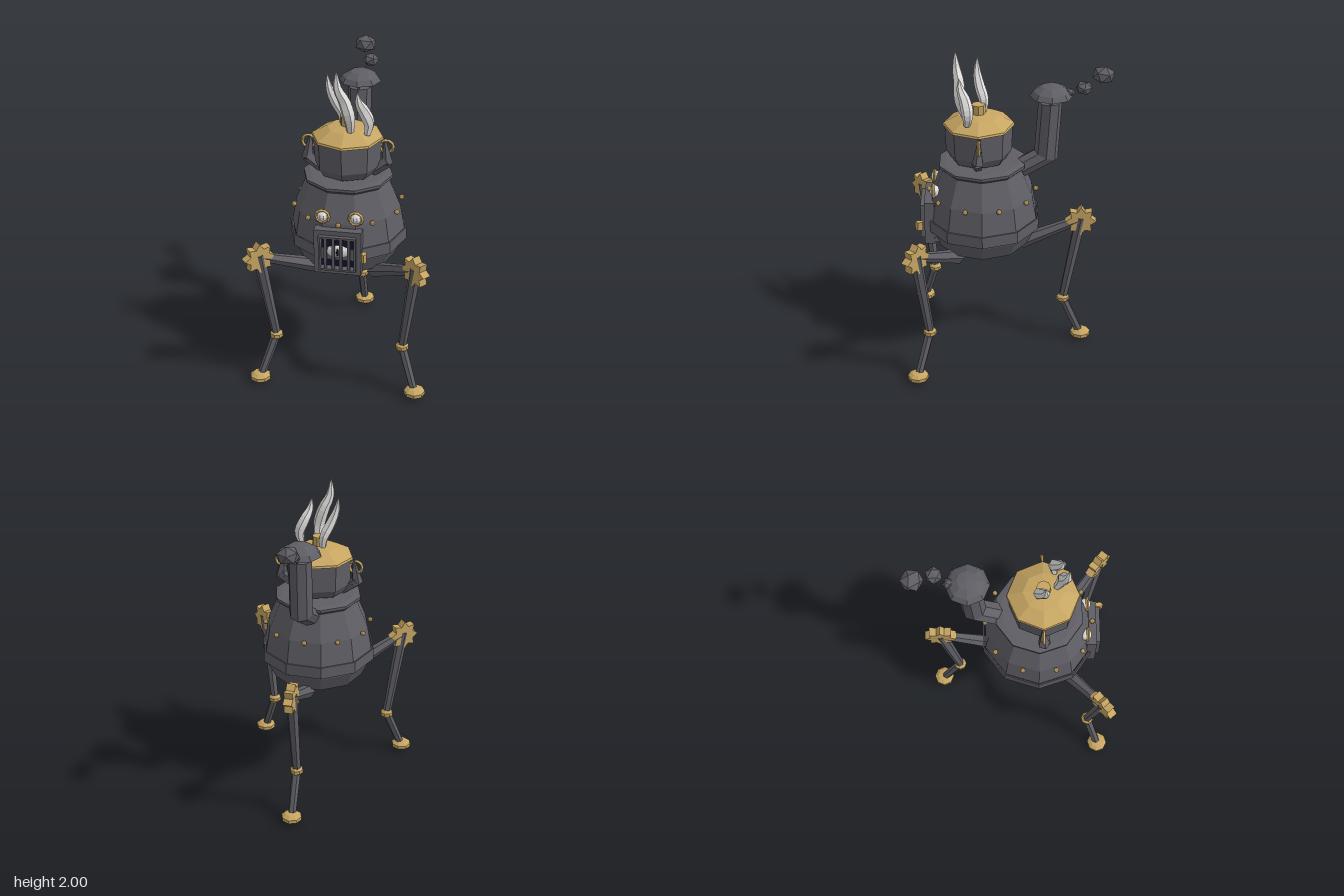
import * as THREE from 'three';

const V = (x, y, z) => new THREE.Vector3(x, y, z);
const CZ = 0.153; // depth of the body's axis

export function createModel() {
  const model = new THREE.Group();
  const mat = (name, color) => {
    const m = new THREE.MeshStandardMaterial({ color });
    m.name = name;
    return m;
  };
  const iron = mat('dark iron', 0x5f5e65);
  const brass = mat('brass', 0xc6a562);
  const white = mat('pale white', 0xe4e3e1);
  const navy = mat('dark opening', 0x12122c);

  // Adds a faceted mesh
  function add(name, geo, material, pos = V(0, 0, 0), parent = model) {
    const g = geo.index ? geo.toNonIndexed() : geo;
    g.computeVertexNormals();
    const mesh = new THREE.Mesh(g, material);
    mesh.name = name;
    mesh.position.copy(pos);
    parent.add(mesh);
    return mesh;
  }
  // Turned part from [radius, y] pairs, listed bottom to top
  const turned = (pts, sides) =>
    new THREE.LatheGeometry(pts.map(p => new THREE.Vector2(p[0], p[1])), sides, Math.PI / 2);
  // Tapered bar between two points
  function bar(name, a, b, ra, rb, sides, material, parent) {
    const mesh = add(name, new THREE.CylinderGeometry(rb, ra, a.distanceTo(b), sides), material,
      a.clone().add(b).multiplyScalar(0.5), parent);
    mesh.quaternion.setFromUnitVectors(V(0, 1, 0), b.clone().sub(a).normalize());
    return mesh;
  }
  // Square frame with a square hole
  function frame(outer, inner, depth) {
    const square = (P, w) => new P([[-w, -w], [w, -w], [w, w], [-w, w]].map(p => new THREE.Vector2(...p)));
    const s = square(THREE.Shape, outer);
    s.holes.push(square(THREE.Path, inner));
    return new THREE.ExtrudeGeometry(s, { depth, bevelEnabled: false });
  }

  // Kettle body, belt and neck rim
  const axis = V(0, 0, CZ);
  add('body', turned([[0, 0.675], [0.13, 0.675], [0.285, 0.76], [0.335, 0.86], [0.348, 0.95],
    [0.322, 1.1], [0.25, 1.27], [0, 1.27]], 10), iron, axis);
  add('belt', turned([[0.354, 0.88], [0.362, 0.88], [0.362, 0.955], [0.354, 0.955], [0.354, 0.88]], 10), iron, axis);
  add('neckRim', turned([[0, 1.265], [0.25, 1.265], [0.272, 1.285], [0.272, 1.302], [0.235, 1.31], [0, 1.31]], 10), iron, axis);
  for (let i = 0; i < 10; i++) {
    const a = (i + 0.5) * Math.PI / 5;
    add('rivet', new THREE.IcosahedronGeometry(0.016, 1), brass,
      V(0.33 * Math.cos(a), 1.105, CZ + 0.33 * Math.sin(a)));
  }

  // Upper pot, lid and knob
  const potAxis = V(0, 0, 0.172);
  add('pot', turned([[0, 1.325], [0.172, 1.325], [0.2, 1.375], [0.206, 1.54], [0, 1.54]], 8), iron, potAxis);
  add('lid', turned([[0, 1.535], [0.218, 1.54], [0.213, 1.553], [0.12, 1.603], [0, 1.622]], 8), brass, potAxis);
  add('knob', new THREE.CylinderGeometry(0.042, 0.042, 0.06, 8), brass, V(0, 1.643, 0.172));

  // Pot brackets with handle rings
  for (const s of [-1, 1]) {
    bar('bracket', V(s * 0.15, 1.325, 0.18), V(s * 0.245, 1.4, 0.175), 0.03, 0.038, 5, iron);
    bar('bracketTip', V(s * 0.242, 1.385, 0.175), V(s * 0.222, 1.54, 0.165), 0.038, 0.006, 5, iron);
    add('handleRing', new THREE.TorusGeometry(0.04, 0.01, 4, 10), brass, V(s * 0.235, 1.49, 0.17));
  }

  // Steam wisps: tubes swelling in the middle and pinched to a tip
  function wisp(points, radius) {
    const curve = new THREE.CatmullRomCurve3(points.map(p => V(...p)));
    const seg = 12, sides = 6;
    const g = new THREE.TubeGeometry(curve, seg, 1, sides);
    const pos = g.attributes.position, v = V(0, 0, 0);
    for (let i = 0; i <= seg; i++) {
      const t = i / seg, c = curve.getPointAt(t);
      const r = radius * (0.5 + 1.4 * t) * Math.min(1, Math.pow(1 - t, 0.9) * 1.35);
      for (let j = 0; j <= sides; j++) {
        const k = i * (sides + 1) + j;
        v.fromBufferAttribute(pos, k).sub(c).multiplyScalar(r).add(c);
        pos.setXYZ(k, v.x, v.y, v.z);
      }
    }
    add('steamWisp', g, white);
  }
  wisp([[0.03, 1.6, 0.25], [0.03, 1.7, 0.28], [0, 1.81, 0.285], [-0.035, 1.89, 0.3], [-0.04, 2.0, 0.308]], 0.042);
  wisp([[-0.03, 1.6, 0.145], [-0.04, 1.68, 0.14], [-0.075, 1.76, 0.165], [-0.105, 1.84, 0.18], [-0.12, 1.93, 0.177]], 0.036);
  wisp([[0.13, 1.59, 0.24], [0.14, 1.66, 0.235], [0.11, 1.74, 0.25], [0.085, 1.8, 0.275], [0.075, 1.87, 0.285]], 0.04);

  // Bent chimney pipe: rows of a cylinder moved onto the bend
  const pipe = new THREE.CylinderGeometry(0.072, 0.072, 2, 8, 2);
  const pp = pipe.attributes.position;
  for (let i = 0; i < pp.count; i++) {
    const row = Math.round(pp.getY(i)), z = pp.getZ(i);
    if (row === 1) pp.setXYZ(i, pp.getX(i), 1.69, -0.258 + z);
    else if (row === 0) pp.setXYZ(i, pp.getX(i), 1.34 + 0.4 * z, -0.237 + z);
    else pp.setXYZ(i, pp.getX(i), 1.215 + 0.77 * z, -0.025 + 0.37 * z);
  }
  add('chimneyPipe', pipe, iron);
  for (const [x, z] of [[0, 0.06], [0, -0.06], [0.06, 0], [-0.06, 0]])
    bar('capStrut', V(x, 1.68, -0.258 + z), V(x * 1.15, 1.75, -0.258 + z * 1.15), 0.006, 0.008, 4, iron);
  add('chimneyCap', turned([[0, 1.74], [0.08, 1.74], [0.132, 1.727], [0.11, 1.758], [0.06, 1.788], [0, 1.797]], 8),
    iron, V(0, 0, -0.265));

  // Smoke puffs
  [[0, 1.745, -0.37, 0.037], [0.035, 1.79, -0.455, 0.053], [-0.02, 1.85, -0.573, 0.07]].forEach(([x, y, z, r], i) => {
    const puff = add('smokePuff', new THREE.IcosahedronGeometry(r, 0), iron, V(x, y, z));
    puff.rotation.set(0.4 + i, 0.7 * i, 0);
    const squash = new THREE.Group();
    squash.name = 'smoke';
    squash.position.copy(puff.position);
    puff.position.set(0, 0, 0);
    squash.scale.y = 0.8;
    squash.add(puff);
    model.add(squash);
  });

  // Goggle eyes
  for (const s of [-1, 1]) {
    add('eye', new THREE.SphereGeometry(0.036, 10, 8), white, V(s * 0.1, 1.14, 0.44));
    add('eyeRing', new THREE.TorusGeometry(0.039, 0.01, 4, 10), brass, V(s * 0.1, 1.14, 0.452));
  }

  // Furnace door with barred window and peering eye
  const door = new THREE.Group();
  door.name = 'furnaceDoor';
  door.position.set(0, 0.935, 0);
  model.add(door);
  add('doorFrame', frame(0.142, 0.1, 0.06), iron, V(0, 0, 0.45), door);
  add('doorTrim', frame(0.112, 0.1, 0.025), iron, V(0, 0, 0.51), door);
  add('doorBack', new THREE.BoxGeometry(0.27, 0.27, 0.1), iron, V(0, 0, 0.43), door);
  add('doorOpening', new THREE.BoxGeometry(0.2, 0.2, 0.008), navy, V(0, 0, 0.486), door);
  add('peeringEye', new THREE.SphereGeometry(1, 12, 8), white, V(0, 0, 0.49), door).scale.set(0.075, 0.04, 0.02);
  add('pupil', new THREE.SphereGeometry(1, 8, 6), navy, V(0, 0, 0.508), door).scale.set(0.008, 0.026, 0.006);
  for (const x of [-0.07, -0.023, 0.023, 0.07])
    add('windowBar', new THREE.BoxGeometry(0.018, 0.2, 0.012), iron, V(x, 0, 0.522), door);
  const latch = add('doorLatch', new THREE.CylinderGeometry(0.018, 0.018, 0.055, 5), brass, V(0.165, 0, 0.54), door);
  latch.scale.z = 1.45;

  // Gear outline with eight pointed teeth
  const gear = new THREE.Shape();
  for (let i = 0; i < 16; i++) {
    const r = i % 2 ? 0.066 : 0.097, a = i * Math.PI / 8;
    gear[i ? 'lineTo' : 'moveTo'](r * Math.cos(a), r * Math.sin(a));
  }
  gear.closePath();

  // Three jointed legs, each built along +x and turned into place
  for (const [name, deg] of [['frontLeftLeg', -40], ['frontRightLeg', -140], ['backLeg', 90]]) {
    const leg = new THREE.Group();
    leg.name = name;
    leg.position.copy(axis);
    leg.rotation.y = deg * Math.PI / 180;
    model.add(leg);
    bar('upperArm', V(0.235, 0.725, 0), V(0.61, 0.885, 0), 0.046, 0.028, 6, iron, leg);
    bar('thigh', V(0.615, 0.9, 0), V(0.512, 0.31, 0), 0.038, 0.027, 6, iron, leg);
    bar('shin', V(0.512, 0.31, 0), V(0.625, 0.045, 0), 0.028, 0.025, 6, iron, leg);
    add('gear', new THREE.ExtrudeGeometry(gear, { depth: 0.055, bevelEnabled: false }), brass, V(0.615, 0.88, -0.0275), leg);
    add('knee', new THREE.SphereGeometry(0.043, 8, 5), brass, V(0.512, 0.307, 0), leg).scale.y = 0.8;
    add('foot', new THREE.SphereGeometry(0.068, 8, 5), brass, V(0.632, 0.036, 0), leg).scale.y = 0.53;
  }
  return model;
}
